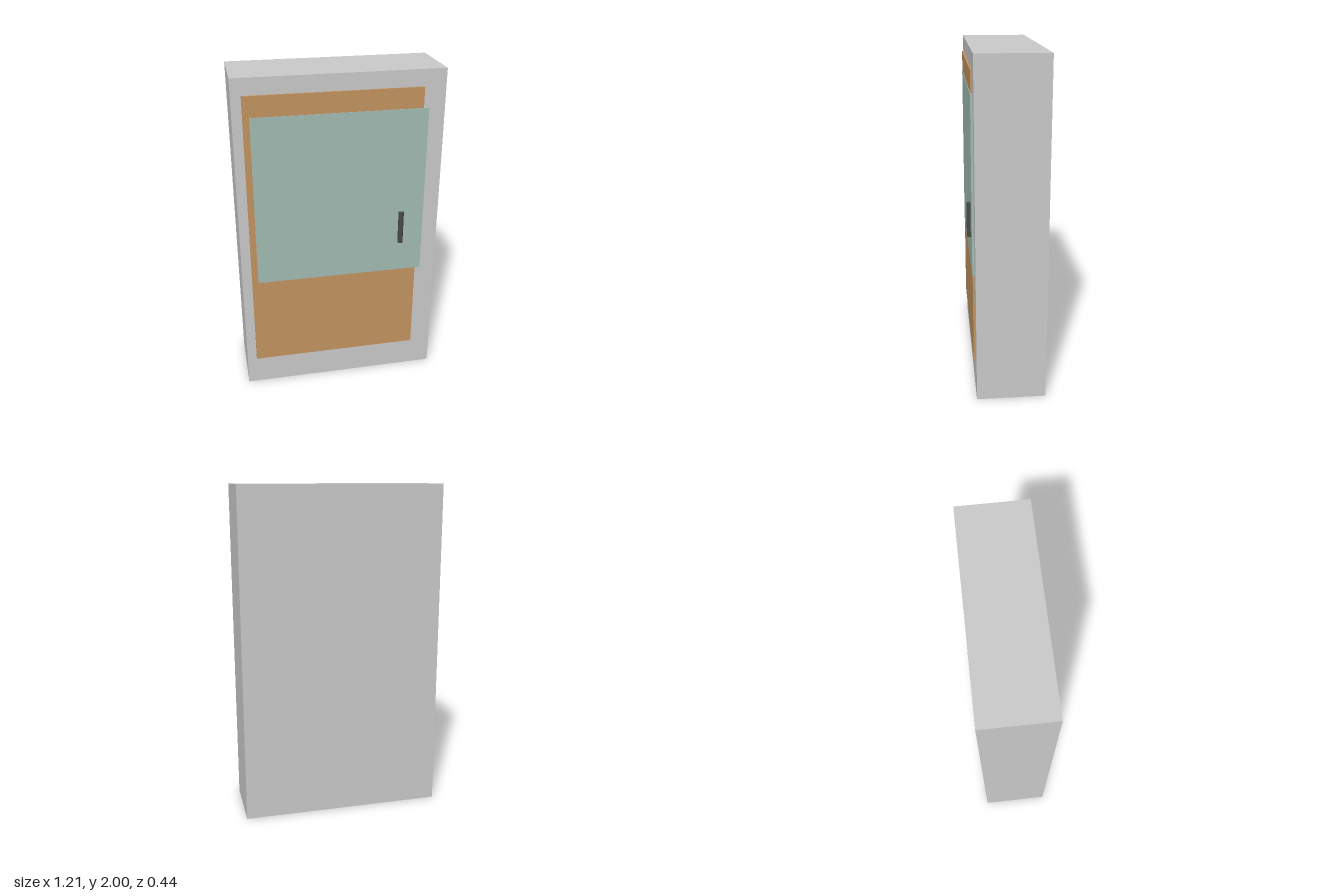
import * as THREE from 'three';

// Box given by its minimum and maximum corners
function slab(name, color, [x0, y0, z0], [x1, y1, z1]) {
  const mesh = new THREE.Mesh(
    new THREE.BoxGeometry(x1 - x0, y1 - y0, z1 - z0),
    new THREE.MeshStandardMaterial({ color })
  );
  mesh.position.set((x0 + x1) / 2, (y0 + y1) / 2, (z0 + z1) / 2);
  mesh.name = name;
  return mesh;
}

export function createModel() {
  const group = new THREE.Group();
  group.name = 'cabinet';
  const face = 0.186; // front plane of the cabinet body

  // Cabinet body
  group.add(slab('body', 0xcccccc, [-0.607, 0, -0.221], [0.607, 2, face]));

  // Wooden door and the glass pane set over it
  group.add(slab('door', 0xc49560, [-0.549, 0.182, face - 0.01], [0.478, 1.902, 0.196]));
  group.add(slab('glassPane', 0xa4bdb5, [-0.512, 0.745, face - 0.01], [0.509, 1.781, 0.199]));

  // Upright bar handle
  const handle = new THREE.Mesh(
    new THREE.CylinderGeometry(0.016, 0.016, 0.204, 24),
    new THREE.MeshStandardMaterial({ color: 0x4a4a4a })
  );
  handle.name = 'handle';
  handle.position.set(0.37, 1.042, 0.205);
  group.add(handle);

  return group;
}
